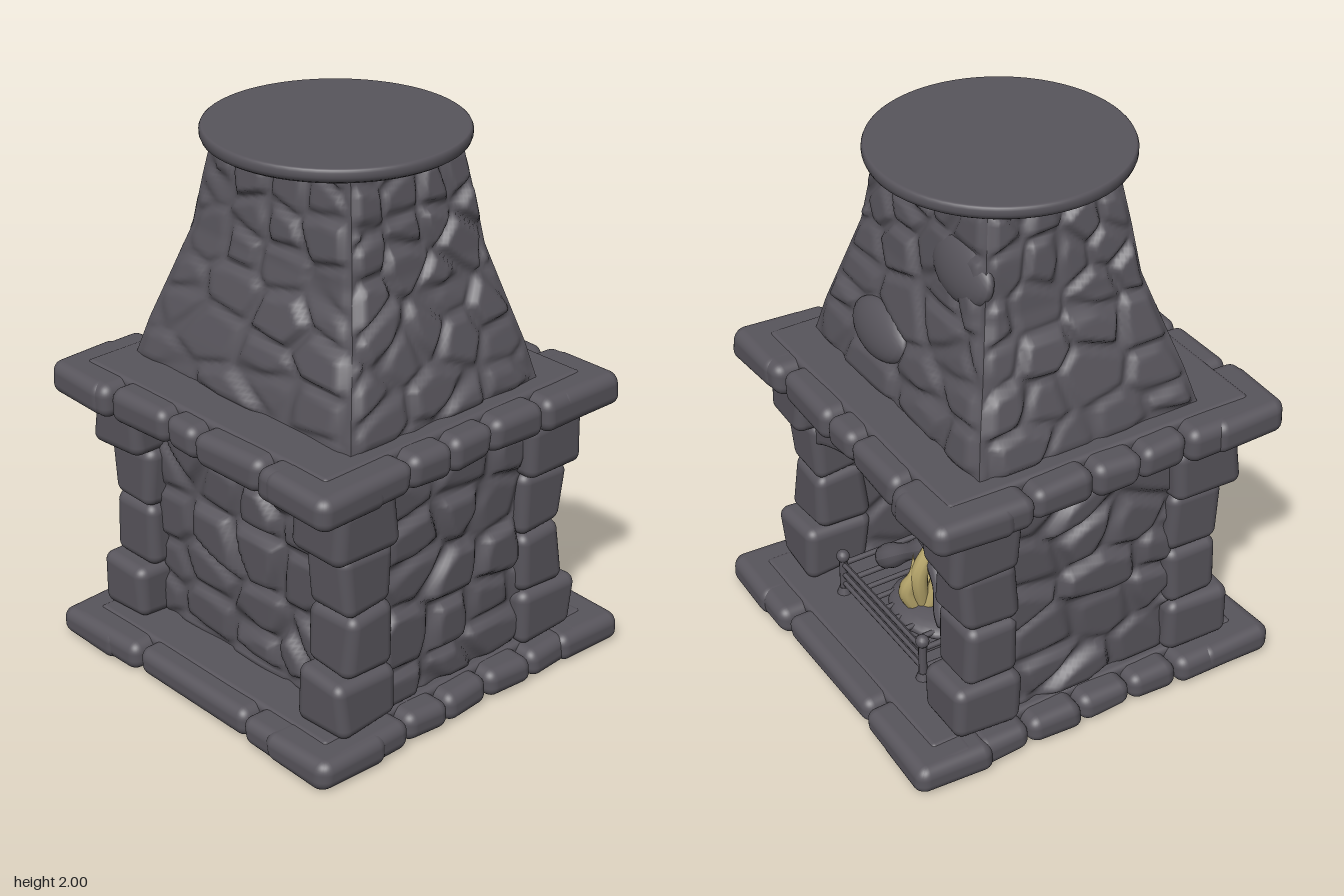
import * as THREE from 'three';
import { RoundedBoxGeometry } from 'three/addons/geometries/RoundedBoxGeometry.js';

const V = (x, y, z) => new THREE.Vector3(x, y, z);
const stone = new THREE.MeshStandardMaterial({ color: 0x58555c });
stone.name = 'dark stone';
const fire = new THREE.MeshStandardMaterial({ color: 0xb8a76c });
fire.name = 'flame yellow';

// Repeatable value in 0..1 for a grid cell
const hash = (a, b, c) => {
  const s = Math.sin(a * 127.1 + b * 311.7 + c * 74.7) * 43758.5453;
  return s - Math.floor(s);
};

export function createModel() {
  const root = new THREE.Group();
  root.name = 'stoneFireplace';

  function add(parent, name, geo, mat = stone) {
    const mesh = new THREE.Mesh(geo, mat);
    mesh.name = name;
    parent.add(mesh);
    return mesh;
  }
  function group(name) {
    const g = new THREE.Group();
    g.name = name;
    root.add(g);
    return g;
  }

  // Rounded block between two corners, gently worn by a smooth wobble
  function block(parent, name, x0, x1, y0, y1, z0, z1, radius = 0.035, wobble = 0.006) {
    const geo = new RoundedBoxGeometry(x1 - x0, y1 - y0, z1 - z0, 4, radius);
    geo.translate((x0 + x1) / 2, (y0 + y1) / 2, (z0 + z1) / 2);
    const p = geo.attributes.position;
    for (let i = 0; i < p.count; i++) {
      const x = p.getX(i), y = p.getY(i), z = p.getZ(i);
      p.setXYZ(i,
        x + wobble * Math.sin(17 * y + 11 * z + 3 * x),
        y + wobble * 0.4 * Math.sin(13 * x + 9 * z),
        z + wobble * Math.sin(15 * x + 14 * y + 4 * z));
    }
    return add(parent, name, geo);
  }

  // Wall of irregular fieldstones: a grid raised over jittered cells
  function stoneWall(parent, name, point, cols, rows, seed, amp) {
    const n = 60, pos = [], index = [], up = V(0, 1, 0);
    const step = THREE.MathUtils.smoothstep;
    for (let j = 0; j <= n; j++) for (let i = 0; i <= n; i++) {
      const u = i / n, v = j / n, cx = Math.floor(u * cols), cy = Math.floor(v * rows);
      let d1 = 9, d2 = 9, size = 0;
      for (let a = cx - 2; a <= cx + 2; a++) for (let b = cy - 2; b <= cy + 2; b++) {
        const d = Math.hypot(a + 0.1 + 0.8 * hash(a, b, seed) - u * cols,
          b + 0.1 + 0.8 * hash(b, a, seed + 5) - v * rows);
        if (d < d1) { d2 = d1; d1 = d; size = hash(a, b, seed + 9); } else if (d < d2) d2 = d;
      }
      const edge = step(Math.min(u, 1 - u), 0, 0.05) * step(Math.min(v, 1 - v), 0, 0.03);
      const h = amp * edge * step(d2 - d1, 0, 0.35) * (0.35 + 0.65 * size);
      const out = point(1, v).sub(point(0, v)).cross(up).normalize();
      pos.push(...point(u, v).addScaledVector(out, h).toArray());
      if (i < n && j < n) {
        const k = j * (n + 1) + i;
        index.push(k, k + 1, k + n + 2, k, k + n + 2, k + n + 1);
      }
    }
    const geo = new THREE.BufferGeometry();
    geo.setAttribute('position', new THREE.Float32BufferAttribute(pos, 3));
    geo.setIndex(index);
    geo.computeVertexNormals();
    return add(parent, name, geo);
  }

  // Round bar along a curve; width(t) scales its radius
  function bar(parent, name, points, r, mat = stone, width = () => 1, sides = 8) {
    const curve = new THREE.CatmullRomCurve3(points), n = points.length > 2 ? 24 : 10;
    const geo = new THREE.TubeGeometry(curve, n, r, sides);
    const p = geo.attributes.position, q = V(0, 0, 0);
    for (let i = 0; i < p.count; i++) {
      const t = Math.floor(i / (sides + 1)) / n, c = curve.getPointAt(t);
      q.fromBufferAttribute(p, i).sub(c).multiplyScalar(width(t)).add(c);
      p.setXYZ(i, q.x, q.y, q.z);
    }
    geo.computeVertexNormals();
    return add(parent, name, geo, mat);
  }

  // Slab: a smooth core framed by edging stones
  function slab(name, x0, x1, z0, z1, y0, y1, xs, zs) {
    const g = group(name), top = y1 - 0.006;
    block(g, 'core', x0 + 0.1, x1 - 0.1, y0 + 0.004, y1, z0 + 0.1, z1 - 0.1, 0.02, 0);
    const xc = [x0, ...xs, x1], zc = [z0, ...zs, z1];
    for (let i = 0; i < xc.length - 1; i++) {
      const inset = i === 0 || i === xc.length - 2 ? 0.004 : 0.012 + 0.012 * hash(i, 2, y1);
      block(g, 'edgeStone', xc[i], xc[i + 1], y0, top, z0 + inset, z0 + 0.3, 0.042);
      block(g, 'edgeStone', xc[i], xc[i + 1], y0, top, z1 - 0.3, z1 - inset, 0.042);
    }
    for (let i = 0; i < zc.length - 1; i++) {
      const inset = i === 0 || i === zc.length - 2 ? 0.004 : 0.015 + 0.01 * hash(i, 3, y1);
      block(g, 'edgeStone', x0 + inset, x0 + 0.3, y0, top, zc[i], zc[i + 1], 0.042);
      block(g, 'edgeStone', x1 - 0.3, x1 - inset, y0, top, zc[i], zc[i + 1], 0.042);
    }
  }
  slab('hearthBase', -0.74, 0.74, -0.715, 0.715, 0.003, 0.118, [-0.33, -0.14, 0.07, 0.28, 0.49], [-0.3, 0.29]);
  slab('mantel', -0.74, 0.665, -0.72, 0.72, 0.985, 1.115, [-0.33, -0.14, 0.05, 0.29], [-0.39, -0.1, 0.06, 0.38]);

  // Corner pillars of stacked stones
  const pillars = group('pillars');
  const levels = [[0.11, 0.32, 0.055, 0.022], [0.315, 0.555, 0, 0.006], [0.55, 0.785, 0.006, 0], [0.775, 0.99, 0.065, 0.028]];
  for (const sx of [-1, 1]) for (const sz of [-1, 1]) for (const [y0, y1, dx, dz] of levels) {
    const xa = -0.02 + sx * 0.31, xb = -0.02 + sx * (0.52 + dx);
    const za = sz * 0.41, zb = sz * (0.622 + dz);
    block(pillars, 'pillarStone', Math.min(xa, xb), Math.max(xa, xb), y0, y1, Math.min(za, zb), Math.max(za, zb), 0.04, 0.007);
  }

  // Outer walls on three sides and the firebox lining facing inward
  const walls = group('walls');
  const flat = (ax, az, bx, bz) => (u, v) => V(ax + (bx - ax) * u, 0.1 + 0.89 * v, az + (bz - az) * u);
  stoneWall(walls, 'frontWall', flat(-0.38, 0.575, 0.35, 0.575), 3, 5, 1, 0.045);
  stoneWall(walls, 'backWall', flat(0.35, -0.575, -0.38, -0.575), 3, 5, 2, 0.045);
  stoneWall(walls, 'sideWall', flat(-0.465, -0.46, -0.465, 0.46), 4, 5, 3, 0.045);
  stoneWall(walls, 'liningFront', flat(0.36, 0.44, -0.36, 0.44), 3, 4, 4, 0.02);
  stoneWall(walls, 'liningBack', flat(-0.36, -0.44, 0.36, -0.44), 3, 4, 5, 0.02);
  stoneWall(walls, 'liningRear', flat(-0.36, 0.44, -0.36, -0.44), 4, 4, 6, 0.015);

  // Arch over the opening, with a filler panel behind it
  function archGeometry(ends, crown, outerEnds, outerCrown, depth, x, bevel) {
    const s = new THREE.Shape(), w = 0.4;
    s.moveTo(-w, ends);
    s.quadraticCurveTo(0, 2 * crown - ends, w, ends);
    s.lineTo(w, outerEnds);
    s.quadraticCurveTo(0, 2 * outerCrown - outerEnds, -w, outerEnds);
    s.closePath();
    const geo = new THREE.ExtrudeGeometry(s, { depth, curveSegments: 20, bevelEnabled: bevel > 0, bevelSize: bevel, bevelThickness: bevel, bevelOffset: -bevel, bevelSegments: 4 });
    return geo.rotateY(Math.PI / 2).translate(x, 0, 0);
  }
  const arch = group('archway');
  add(arch, 'archStone', archGeometry(0.725, 0.83, 0.885, 0.98, 0.12, 0.37, 0.025));
  add(arch, 'archFiller', archGeometry(0.78, 0.88, 0.995, 0.995, 0.08, 0.35, 0));

  // Tapering chimney hood: height, half width, half depth, centre x
  const hood = group('chimneyHood');
  const rings = [[1.1, 0.44, 0.555, -0.03], [1.25, 0.405, 0.515, -0.025], [1.42, 0.355, 0.46, -0.02], [1.6, 0.305, 0.4, -0.015], [1.78, 0.28, 0.37, -0.015], [1.96, 0.252, 0.335, -0.015]];
  function ringAt(v) {
    const y = 1.1 + 0.86 * v;
    let i = 0;
    while (i < rings.length - 2 && y > rings[i + 1][0]) i++;
    const t = (y - rings[i][0]) / (rings[i + 1][0] - rings[i][0]);
    return rings[i].map((a, k) => a + (rings[i + 1][k] - a) * t);
  }
  const corners = [[-1, 1], [1, 1], [1, -1], [-1, -1]];
  corners.forEach((a, k) => {
    const b = corners[(k + 1) % 4];
    stoneWall(hood, 'hoodSide', (u, v) => {
      const [y, hx, hz, cx] = ringAt(v);
      return V(cx + hx * (a[0] + (b[0] - a[0]) * u), y, hz * (a[1] + (b[1] - a[1]) * u));
    }, 4, 6, 11 + k, 0.034);
  });

  // Large stones standing proud of the hood
  for (const [x, y, z, rz, ry, tilt] of [[0.265, 1.71, -0.23, 0.17, 0.11, 0.22], [0.365, 1.31, 0.15, 0.17, 0.1, 0.3]]) {
    const m = add(hood, 'proudStone', new THREE.SphereGeometry(1, 24, 16));
    m.scale.set(0.05, ry, rz);
    m.position.set(x, y, z);
    m.rotation.z = tilt;
  }

  // Round cap stone
  const capProfile = [[0, 1.945], [0.41, 1.945], [0.435, 1.948], [0.449, 1.957], [0.455, 1.972], [0.455, 1.988], [0.451, 1.997], [0.447, 2], [0.44, 2], [0, 2]];
  const cap = add(root, 'capStone', new THREE.LatheGeometry(capProfile.map(([r, y]) => new THREE.Vector2(r, y)), 64));
  cap.position.x = -0.02;
  cap.scale.z = 1.01;

  // Fire grate: corner posts with knobs, rails and floor bars
  const grate = group('grate');
  for (const x of [0.08, 0.48]) {
    for (const z of [-0.285, 0.285]) {
      bar(grate, 'post', [V(x, 0.115, z), V(x, 0.27, z)], 0.016);
      add(grate, 'knob', new THREE.SphereGeometry(0.025, 14, 10)).position.set(x, 0.285, z);
      add(grate, 'foot', new THREE.CylinderGeometry(0.018, 0.028, 0.03, 12)).position.set(x, 0.13, z);
    }
    for (const y of [0.165, 0.205, 0.25]) bar(grate, 'rail', [V(x, y, -0.285), V(x, y, 0.285)], 0.011);
  }
  for (const z of [-0.285, 0.285]) for (const y of [0.165, 0.25]) bar(grate, 'sideRail', [V(0.08, y, z), V(0.48, y, z)], 0.011);
  for (let i = -3; i <= 3; i++) bar(grate, 'floorBar', [V(0.08, 0.165, i * 0.07), V(0.48, 0.165, i * 0.07)], 0.01);
  const ash = add(grate, 'emberBed', new THREE.SphereGeometry(1, 20, 12));
  ash.scale.set(0.16, 0.045, 0.2);
  ash.position.set(0.26, 0.155, 0);

  // Logs leaning together
  const logs = group('logs');
  const logWidth = t => (t === 0 || t === 1 ? 0 : 0.85 + 0.15 * Math.sin(t * 9));
  for (const s of [-1, 1]) {
    bar(logs, 'leaningLog', [V(0.34, 0.25, s * 0.24), V(0.3, 0.34, s * 0.12), V(0.25, 0.42, s * 0.01)], 0.048, stone, logWidth, 12);
    bar(logs, 'rearLog', [V(0.12, 0.22, s * 0.19), V(0.17, 0.3, s * 0.1), V(0.22, 0.38, s * 0.02)], 0.045, stone, logWidth, 12);
  }

  // Flames: curling tongues that narrow to a point
  const flames = group('flames');
  const tongue = t => Math.max(0.02, (1 - t ** 3) * (0.75 + 0.3 * Math.sin(t * 5)));
  const flame = pts => bar(flames, 'flame', pts.map(p => V(...p)), 0.034, fire, tongue, 10);
  flame([[0.31, 0.18, 0], [0.33, 0.33, -0.01], [0.29, 0.45, -0.02], [0.27, 0.55, 0.012], [0.28, 0.66, -0.01]]);
  flame([[0.3, 0.18, 0.02], [0.25, 0.32, 0.05], [0.24, 0.42, 0.075], [0.25, 0.49, 0.06], [0.25, 0.55, 0.03]]);
  flame([[0.3, 0.18, -0.02], [0.25, 0.32, -0.04], [0.23, 0.42, -0.07], [0.24, 0.5, -0.065], [0.25, 0.58, -0.045]]);
  flame([[0.34, 0.18, 0.01], [0.36, 0.25, 0.02], [0.35, 0.33, 0.0], [0.34, 0.42, 0.01]]);

  return root;
}
